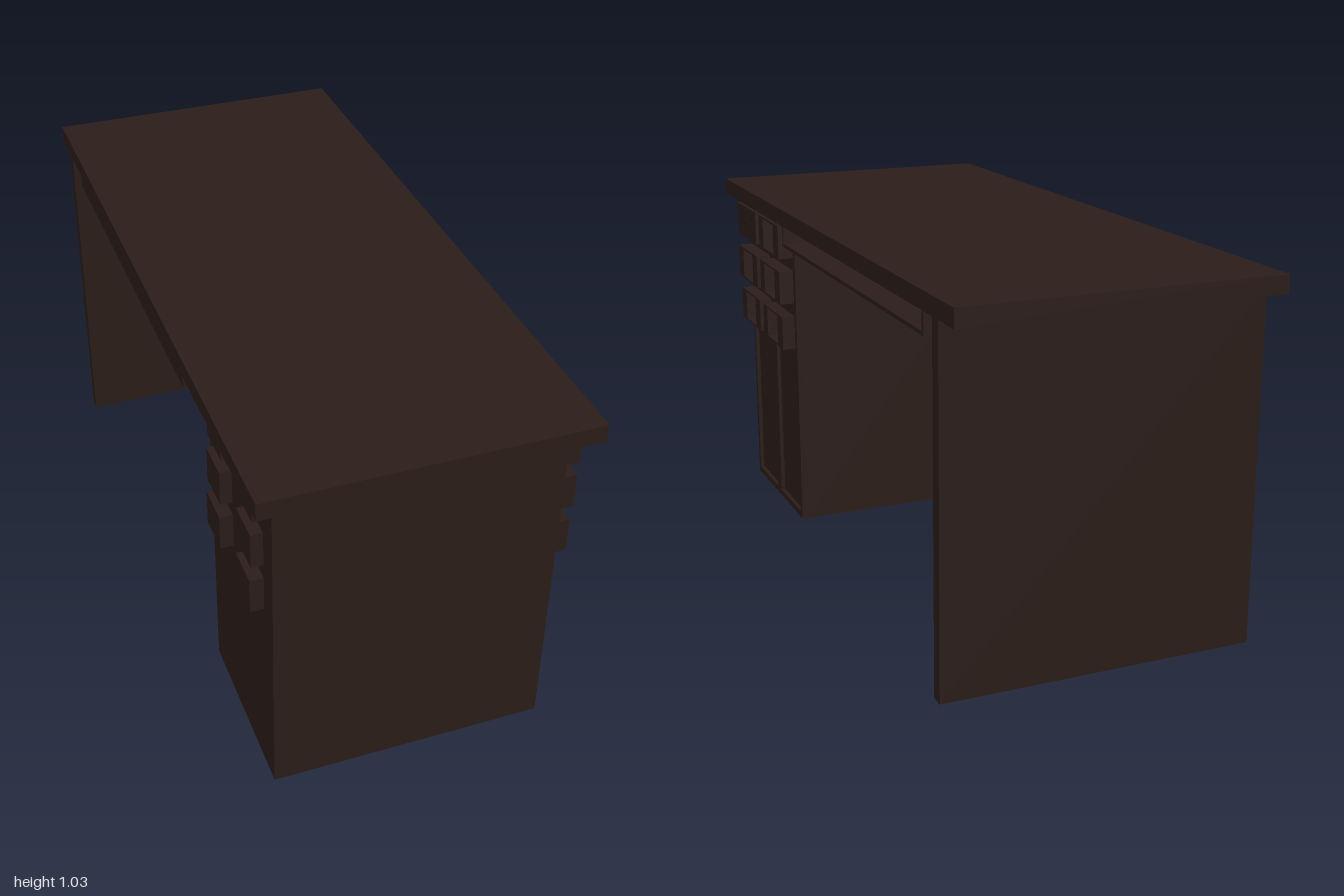
import * as THREE from 'three';

const wood = new THREE.MeshStandardMaterial({ color: 0x2b1d19 });
const darkWood = new THREE.MeshStandardMaterial({ color: 0x1b1614 });

// Box given by its limits on each axis
function box(parent, name, [x0, x1], [y0, y1], [z0, z1], material = wood) {
  const mesh = new THREE.Mesh(new THREE.BoxGeometry(x1 - x0, y1 - y0, z1 - z0), material);
  mesh.position.set((x0 + x1) / 2, (y0 + y1) / 2, (z0 + z1) / 2);
  mesh.name = name;
  parent.add(mesh);
  return mesh;
}

// Rectangle in the z-y plane, ready to be extruded along +x
function rect(Type, [z0, z1], [y0, y1]) {
  const p = new Type();
  p.moveTo(-z1, y0);
  p.lineTo(-z0, y0);
  p.lineTo(-z0, y1);
  p.lineTo(-z1, y1);
  p.closePath();
  return p;
}

// Upright plate with rectangular openings, from x0 to x1
function plate(parent, name, [x0, x1], zRange, yRange, holes) {
  const shape = rect(THREE.Shape, zRange, yRange);
  for (const [z, y] of holes) shape.holes.push(rect(THREE.Path, z, y));
  const geo = new THREE.ExtrudeGeometry(shape, { depth: x1 - x0, bevelEnabled: false });
  geo.rotateY(Math.PI / 2);
  const mesh = new THREE.Mesh(geo, wood);
  mesh.position.x = x0;
  mesh.name = name;
  parent.add(mesh);
}

export function createModel() {
  const desk = new THREE.Group();
  desk.name = 'desk';

  // Table top and the supporting panel at the far end
  box(desk, 'tableTop', [-0.445, 0.445], [0.98, 1.03], [-1, 1]);
  box(desk, 'endPanel', [-0.445, 0.445], [0, 0.98], [-0.905, -0.868]);

  // Shallow tray under the top, open towards the sitter
  const tray = new THREE.Group();
  tray.name = 'tray';
  desk.add(tray);
  box(tray, 'trayBottom', [-0.435, 0.44], [0.915, 0.926], [-0.8, 0.36]);
  box(tray, 'trayBack', [-0.435, -0.42], [0.926, 0.98], [-0.8, 0.36]);
  for (const z of [-0.8, 0.348]) {
    box(tray, 'trayEnd', [-0.42, 0.44], [0.926, 0.98], [z, z + 0.012]);
  }

  // Cabinet body with a face frame around two recessed doors
  const cabinet = new THREE.Group();
  cabinet.name = 'cabinet';
  desk.add(cabinet);
  const columns = [[0.70, 0.915], [0.445, 0.66]];
  box(cabinet, 'cabinetBody', [-0.385, 0.373], [0, 0.98], [0.425, 0.932]);
  plate(cabinet, 'faceFrame', [0.373, 0.385], [0.425, 0.932], [0, 0.98],
    columns.map((z) => [z, [0.02, 0.54]]));

  // Drawers: front with a narrow recess, and the box end showing at the rear
  const rows = [
    { y: [0.858, 0.962], front: 0.43, rear: -0.413 },
    { y: [0.714, 0.818], front: 0.43, rear: -0.418 },
    { y: [0.568, 0.672], front: 0.425, rear: -0.422 },
  ];
  const recesses = [[0.755, 0.865], [0.5, 0.613]];
  rows.forEach(({ y, front, rear }, r) => {
    columns.forEach((z, c) => {
      const drawer = new THREE.Group();
      drawer.name = 'drawer';
      cabinet.add(drawer);
      const slot = recesses[c];
      if (r === 0 && c === 0) {
        // closed drawer with a slim pull
        box(drawer, 'drawerFront', [0.38, front], y, z);
        box(drawer, 'drawerPull', [front, front + 0.004], [0.909, 0.914], [0.785, 0.835], darkWood);
      } else {
        const inner = [y[0] + 0.006, y[1] - 0.006];
        plate(drawer, 'drawerFront', [0.38, front], z, y, [[slot, inner]]);
        box(drawer, 'drawerRecess', [0.38, 0.388], inner, slot, darkWood);
      }
      box(drawer, 'drawerRear', [rear, -0.38], y, slot);
    });
  });

  return desk;
}
